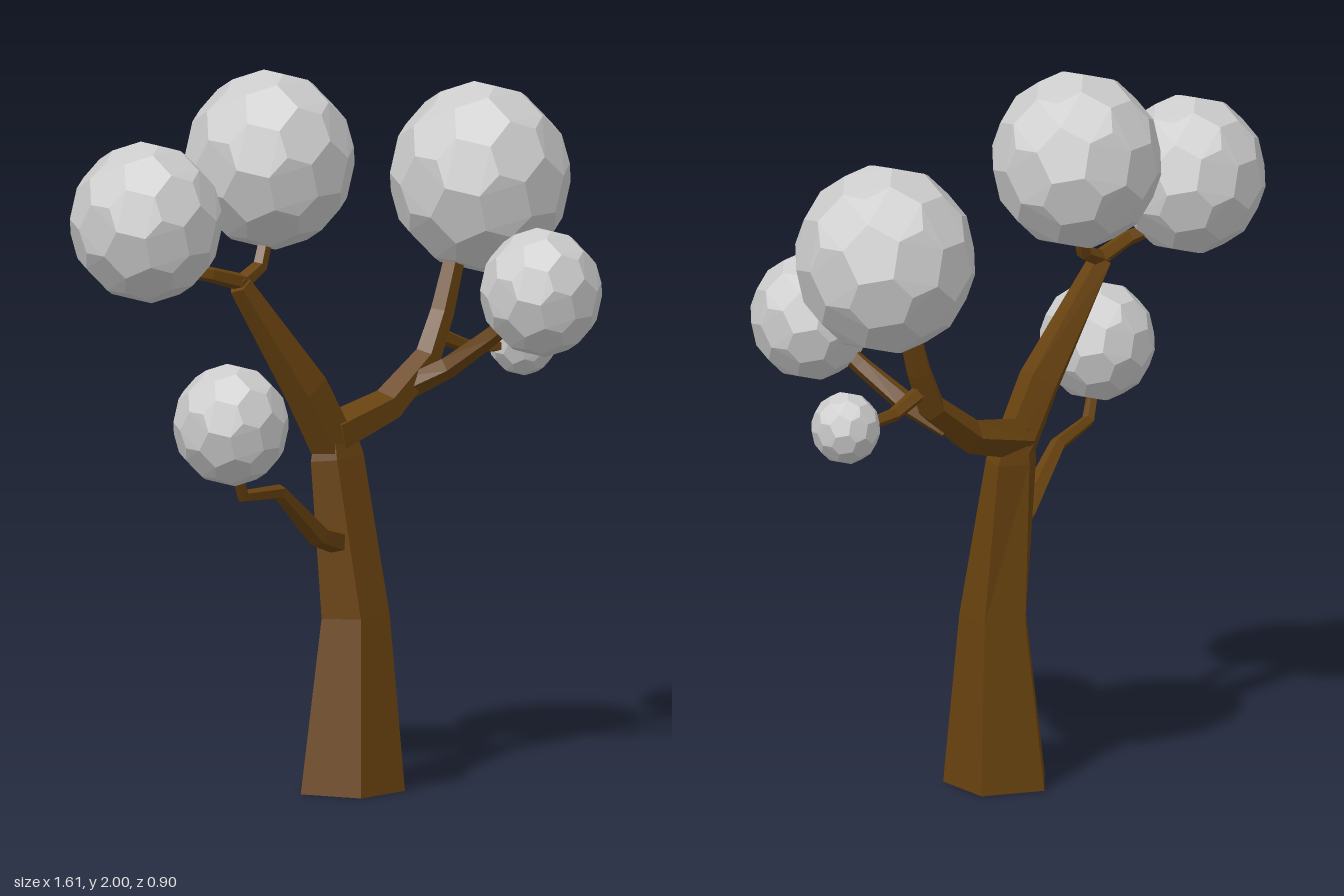
import * as THREE from 'three';
import { ConvexGeometry } from 'three/addons/geometries/ConvexGeometry.js';

const bark = new THREE.MeshStandardMaterial({ color: 0x68420f, flatShading: true });
const leaf = new THREE.MeshStandardMaterial({ color: 0xcccccc, flatShading: true });

// Five-sided tapering limb through points [x, y, z, radius, optional depth factor]
function limb(name, points, startDir) {
  const SIDES = 5;
  const centres = points.map(p => new THREE.Vector3(p[0], p[1], p[2]));
  const last = centres.length - 1;
  const pos = [], index = [];
  centres.forEach((c, i) => {
    const t = centres[Math.min(i + 1, last)].clone().sub(centres[Math.max(i - 1, 0)]).normalize();
    if (i === 0 && startDir) t.copy(startDir);
    const v = new THREE.Vector3(0, 0, 1).addScaledVector(t, -t.z).normalize();
    const u = v.clone().cross(t);
    const [, , , r, depth = 1] = points[i];
    for (let k = 0; k < SIDES; k++) {
      const a = THREE.MathUtils.degToRad(54 + 72 * k);
      const p = c.clone().addScaledVector(u, r * Math.cos(a)).addScaledVector(v, r * depth * Math.sin(a));
      pos.push(p.x, p.y, p.z);
    }
  });
  for (let i = 0; i < last; i++) {
    for (let k = 0; k < SIDES; k++) {
      const a = i * SIDES + k, b = i * SIDES + (k + 1) % SIDES;
      index.push(a, b, b + SIDES, a, b + SIDES, a + SIDES);
    }
  }
  // End caps
  const e = last * SIDES;
  for (let k = 1; k < SIDES - 1; k++) index.push(0, k + 1, k, e, e + k, e + k + 1);
  const geo = new THREE.BufferGeometry();
  geo.setAttribute('position', new THREE.Float32BufferAttribute(pos, 3));
  geo.setIndex(index);
  geo.computeVertexNormals();
  const mesh = new THREE.Mesh(geo, bark);
  mesh.name = name;
  return mesh;
}

// Faceted ball: a dodecahedron with each pentagon inset and rounded out
function foliageGeometry() {
  const src = new THREE.IcosahedronGeometry(1, 0).getAttribute('position');
  const points = [];
  let basis;
  for (let i = 0; i < src.count; i += 3) {
    const corners = [0, 1, 2].map(j => new THREE.Vector3().fromBufferAttribute(src, i + j));
    const centre = corners[0].clone().add(corners[1]).add(corners[2]).normalize();
    points.push(centre);
    corners.forEach(c => points.push(c.clone().lerp(centre, 0.52).normalize()));
    if (!basis) {
      // A three-way corner points up, with one seam running forward
      const z = corners[0].clone().addScaledVector(centre, -corners[0].dot(centre)).normalize().negate();
      basis = new THREE.Matrix4().makeBasis(centre.clone().cross(z), centre, z).invert();
    }
  }
  const geo = new ConvexGeometry(points);
  geo.applyMatrix4(basis);
  geo.rotateX(0.22);
  return geo;
}

export function createModel() {
  const tree = new THREE.Group();
  tree.name = 'tree';

  // Trunk and limbs
  tree.add(
    limb('trunk', [
      [-0.003, 0, -0.047, 0.153], [0.02, 0.48, -0.053, 0.1],
      [-0.01, 0.92, -0.085, 0.092, 0.65], [-0.02, 1.02, -0.09, 0.06, 0.7],
    ], new THREE.Vector3(0, 1, 0)),
    limb('rightMainBranch', [
      [-0.01, 0.93, -0.085, 0.075, 0.7], [-0.12, 1.12, -0.1, 0.07, 0.8],
      [-0.335, 1.425, -0.15, 0.034],
    ]),
    limb('leftMainBranch', [
      [-0.03, 0.98, -0.09, 0.06], [0.19, 1.035, -0.085, 0.05],
      [0.35, 1.15, -0.08, 0.04], [0.41, 1.27, -0.08, 0.035], [0.47, 1.44, -0.08, 0.03],
    ]),
    limb('rightOuterTwig', [
      [-0.32, 1.43, -0.15, 0.025], [-0.44, 1.465, -0.165, 0.022], [-0.54, 1.49, -0.21, 0.02],
    ]),
    limb('rightInnerTwig', [
      [-0.34, 1.425, -0.15, 0.025], [-0.25, 1.465, -0.155, 0.022], [-0.2, 1.56, -0.17, 0.02],
    ]),
    limb('lowerBranch', [
      [-0.04, 0.69, -0.05, 0.036], [-0.16, 0.725, -0.02, 0.033], [-0.345, 0.87, 0.005, 0.022],
      [-0.54, 0.885, 0.045, 0.018], [-0.59, 0.98, 0.06, 0.016],
    ]),
    limb('frontBranch', [
      [0.28, 1.08, -0.08, 0.035], [0.33, 1.14, 0.02, 0.032], [0.37, 1.24, 0.15, 0.027],
      [0.4, 1.33, 0.25, 0.025],
    ]),
    limb('outerTwig', [
      [0.39, 1.21, -0.075, 0.024], [0.5, 1.165, -0.06, 0.02], [0.64, 1.155, -0.04, 0.016],
    ]),
  );

  // Foliage balls: [name, x, y, z, radius]
  const geo = foliageGeometry();
  [
    ['rightOuterFoliage', -0.61, 1.62, -0.247, 0.21],
    ['rightTopFoliage', -0.18, 1.75, -0.18, 0.234],
    ['leftTopFoliage', 0.565, 1.625, -0.077, 0.249],
    ['frontFoliage', 0.408, 1.363, 0.288, 0.168],
    ['lowerFoliage', -0.61, 1.093, 0.065, 0.159],
    ['smallFoliage', 0.69, 1.167, -0.035, 0.095],
  ].forEach(([name, x, y, z, r]) => {
    const ball = new THREE.Mesh(geo, leaf);
    ball.name = name;
    ball.position.set(x, y, z);
    ball.scale.set(r, r * 1.06, r);
    tree.add(ball);
  });
  return tree;
}
